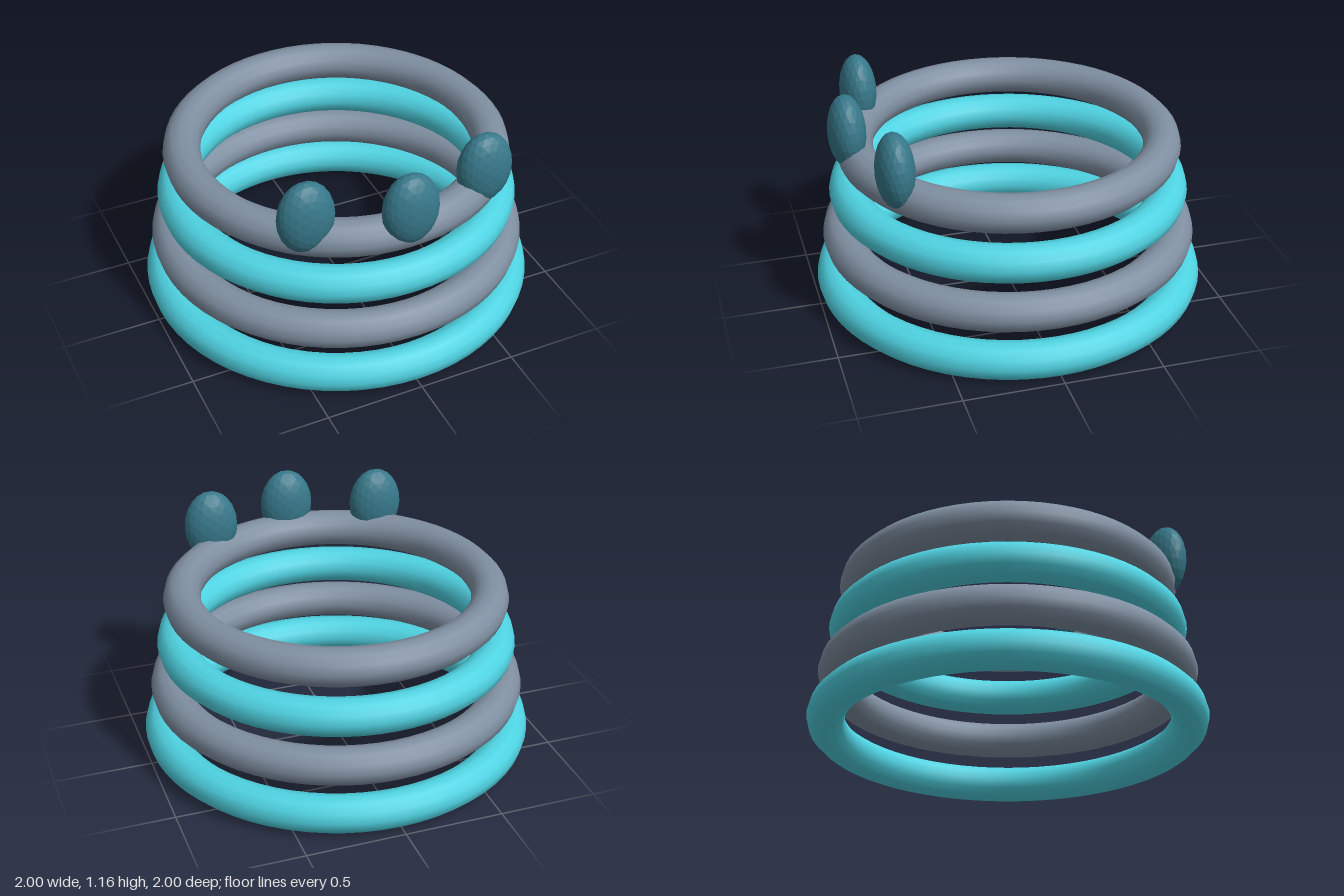
import * as THREE from 'three';

export function createModel() {
  const model = new THREE.Group();
  const turquoise = new THREE.MeshStandardMaterial({ color: 0x4fd3e2 });
  const slate = new THREE.MeshStandardMaterial({ color: 0x7f8fa1 });
  const teal = new THREE.MeshStandardMaterial({ color: 0x37788a, flatShading: true });

  // Four stacked rings, narrowing upwards, in alternating colours
  const tube = 0.0945;
  for (let i = 0; i < 4; i++) {
    const geometry = new THREE.TorusGeometry(0.9055 - 0.0435 * i, tube, 12, 64);
    geometry.rotateX(Math.PI / 2);
    const ring = new THREE.Mesh(geometry, i % 2 ? slate : turquoise);
    ring.name = `ring${i + 1}`;
    ring.position.y = 0.098 + 0.2425 * i;
    model.add(ring);
  }

  // Three faceted ovals sunk into the front of the top ring
  const ovalGeometry = new THREE.IcosahedronGeometry(1, 3);
  ovalGeometry.scale(0.142, 0.19, 0.094);
  const ovals = [
    ['rightOval', -0.463, 0.675],
    ['middleOval', 0, 0.817],
    ['leftOval', 0.463, 0.675],
  ];
  for (const [name, x, z] of ovals) {
    const oval = new THREE.Mesh(ovalGeometry, teal);
    oval.name = name;
    oval.position.set(x, 0.97, z);
    model.add(oval);
  }

  return model;
}
